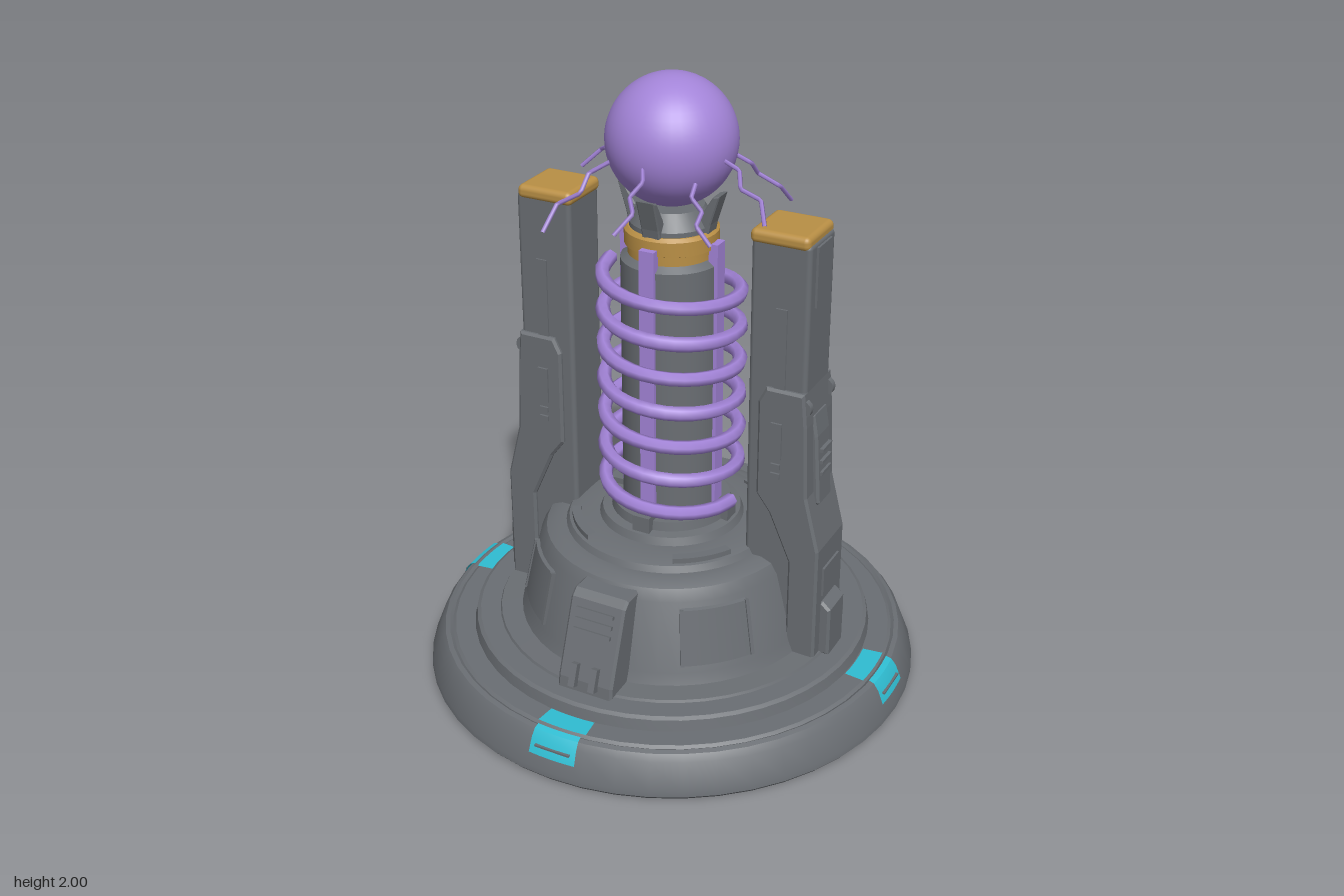
import * as THREE from 'three';
import { RoundedBoxGeometry } from 'three/addons/geometries/RoundedBoxGeometry.js';
import { toCreasedNormals } from 'three/addons/utils/BufferGeometryUtils.js';

const mat = (name, color) => {
  const m = new THREE.MeshStandardMaterial({ color });
  m.name = name;
  return m;
};

export function createModel() {
  const metal = mat('gunmetal', 0x6a6e73);
  const violet = mat('violet', 0xa384d8);
  const gold = mat('brass', 0xb98f45);
  const cyan = mat('cyan', 0x2fbdd2);
  cyan.side = THREE.DoubleSide;
  const panelMetal = metal;
  const root = new THREE.Group();
  root.name = 'energyCoil';

  const add = (parent, name, geo, material, x = 0, y = 0, z = 0) => {
    const m = new THREE.Mesh(geo, material);
    m.name = name;
    m.position.set(x, y, z);
    parent.add(m);
    return m;
  };
  const box = (parent, name, w, h, d, material, x, y, z) =>
    add(parent, name, new THREE.BoxGeometry(w, h, d), material, x, y, z);
  const lathe = (pts, seg = 48, start = 0, len = Math.PI * 2) =>
    toCreasedNormals(new THREE.LatheGeometry(pts.map(p => new THREE.Vector2(...p)), seg, start, len), 0.5);
  // Side profile in XY, extruded symmetrically along z
  const slab = (pts, depth, bevel = 0.008) => {
    const g = new THREE.ExtrudeGeometry(new THREE.Shape(pts.map(p => new THREE.Vector2(...p))), {
      depth: depth - 2 * bevel, bevelEnabled: true, bevelSize: bevel, bevelThickness: bevel,
      bevelOffset: -bevel, bevelSegments: 1 });
    return g.translate(0, 0, -depth / 2 + bevel);
  };
  // Four copies about the vertical axis
  const around = (n, name, build, offset = 0) => {
    for (let i = 0; i < n; i++) {
      const g = new THREE.Group();
      g.name = name;
      g.rotation.y = offset + (i * Math.PI * 2) / n;
      build(g);
      root.add(g);
    }
  };

  // Stepped round base and conical housing
  add(root, 'base', lathe([[0, 0], [0.8, 0], [0.81, 0.012], [0.808, 0.03], [0.775, 0.115], [0.76, 0.135],
    [0.745, 0.14], [0.735, 0.133], [0.725, 0.14], [0.66, 0.14], [0.652, 0.175], [0.64, 0.182], [0, 0.182]]), metal);
  add(root, 'housing', lathe([[0.575, 0.18], [0.57, 0.19], [0.5, 0.192], [0.485, 0.23], [0.43, 0.455], [0.41, 0.49],
    [0.375, 0.505], [0.345, 0.505], [0.335, 0.525], [0.3, 0.535], [0.235, 0.535], [0.225, 0.56],
    [0.195, 0.565], [0.19, 0.595], [0, 0.6]]), metal);

  // Glowing markers following the base rim
  around(4, 'marker', g => {
    add(g, 'markerTop', lathe([[0.73, 0.145], [0.665, 0.145]], 4, -0.115, 0.23), cyan);
    add(g, 'markerRim', lathe([[0.798, 0.072], [0.779, 0.118], [0.763, 0.139], [0.745, 0.145]], 4, -0.1, 0.2), cyan);
    box(g, 'markerSlot', 0.12, 0.006, 0.012, metal, 0, 0.1, 0.786);
  });

  // Curved panels and top ridges on the diagonals
  around(4, 'housingPanel', g => {
    const skin = [[0.475, 0.25], [0.484, 0.252], [0.446, 0.432], [0.43, 0.436]];
    add(g, 'panel', lathe(skin, 8, -0.24, 0.48), panelMetal);
    for (const s of [-1, 1]) {
      const edge = add(g, 'panelEdge', new THREE.BoxGeometry(0.012, 0.186, 0.02), metal,
        Math.sin(s * 0.24) * 0.46, 0.342, Math.cos(0.24) * 0.46);
      edge.rotation.set(-0.21, s * 0.24, 0, 'YXZ');
    }
    add(g, 'ridge', lathe([[0.325, 0.525], [0.325, 0.545], [0.295, 0.545], [0.295, 0.525]], 8, -0.3, 0.6), metal);
  }, Math.PI / 4);

  // Sloping vent boxes, front and back
  around(2, 'vent', g => {
    const body = add(g, 'ventBody', slab([[0.38, 0.18], [0.59, 0.18], [0.585, 0.22], [0.495, 0.46], [0.47, 0.48], [0.38, 0.48]], 0.19), metal);
    body.rotation.y = -Math.PI / 2;
    const face = new THREE.Group();
    face.name = 'ventFace';
    face.position.set(0, 0.34, 0.541);
    face.rotation.x = -0.359;
    g.add(face);
    for (let i = 0; i < 3; i++) box(face, 'slat', 0.13, 0.012, 0.014, metal, 0, 0.03 + i * 0.033, 0.004);
    for (const s of [-1, 1]) box(face, 'lug', 0.022, 0.075, 0.03, metal, s * 0.035, -0.11, 0.006);
  });

  // Two side pylons with armour and brass caps
  around(2, 'pylon', g => {
    add(g, 'pylonCore', new RoundedBoxGeometry(0.19, 1.3, 0.18, 2, 0.015), metal, 0.4, 0.93, 0);
    add(g, 'pylonCap', new RoundedBoxGeometry(0.19, 0.045, 0.19, 3, 0.018), gold, 0.395, 1.582, 0);
    add(g, 'pylonArmour', slab([[0.37, 1.11], [0.495, 1.11], [0.505, 1.0], [0.515, 0.76], [0.56, 0.58], [0.56, 0.18],
      [0.46, 0.18], [0.46, 0.52], [0.39, 0.68], [0.345, 0.74], [0.345, 1.06]], 0.21), metal);
    add(g, 'pylonFoot', slab([[0.53, 0.18], [0.592, 0.18], [0.592, 0.35], [0.565, 0.375], [0.53, 0.375]], 0.12), metal);
    add(g, 'pylonSpine', slab([[0.48, 0.68], [0.535, 0.72], [0.52, 0.95], [0.508, 1.02], [0.48, 1.02]], 0.1), metal);
    box(g, 'outerPanel', 0.014, 0.19, 0.1, metal, 0.495, 1.47, 0);
    box(g, 'lowerPanel', 0.014, 0.1, 0.12, metal, 0.56, 0.45, 0);
    for (let i = 0; i < 3; i++) box(g, 'rung', 0.012, 0.012, 0.07, metal, 0.53, 0.82 + i * 0.04, 0);
    for (const s of [-1, 1]) {
      box(g, 'upperInlay', 0.036, 0.26, 0.012, metal, 0.41, 1.24, s * 0.09);
      box(g, 'lowerInlay', 0.036, 0.12, 0.012, metal, 0.41, 0.94, s * 0.106);
      for (let i = 0; i < 2; i++) box(g, 'stud', 0.03, 0.018, 0.012, metal, 0.41, 0.82 + i * 0.032, s * 0.106);
      const bolt = add(g, 'hingeBolt', new THREE.CylinderGeometry(0.03, 0.03, 0.02, 12), metal, 0.485, 1.06, s * 0.085);
      bolt.rotation.x = Math.PI / 2;
    }
  });

  // Central column, brass collar, energy strips and claws
  add(root, 'column', lathe([[0.158, 0.58], [0.158, 1.43], [0.13, 1.45], [0.13, 1.55], [0.1, 1.6], [0, 1.6]], 32), metal);
  add(root, 'collar', lathe([[0.12, 1.44], [0.135, 1.44], [0.135, 1.475], [0.146, 1.48], [0.146, 1.525],
    [0.135, 1.535], [0.1, 1.535]], 32), gold);
  around(4, 'columnSide', g => {
    box(g, 'energyStrip', 0.05, 0.9, 0.03, violet, 0, 1.05, 0.152);
    box(g, 'stripFoot', 0.06, 0.08, 0.06, metal, 0, 0.575, 0.185);
    const claw = add(g, 'claw', slab([[0.1, 1.5], [0.13, 1.5], [0.142, 1.56], [0.172, 1.655], [0.15, 1.65], [0.11, 1.585]], 0.06, 0.004), metal);
    claw.rotation.y = -Math.PI / 2;
  });

  // Helical coil
  const turns = 6.5;
  const helix = [];
  for (let i = 0; i <= turns * 16; i++) {
    const t = i / (turns * 16), a = -Math.PI / 2 + t * turns * Math.PI * 2;
    helix.push(new THREE.Vector3(Math.sin(a) * 0.214, 1.385 - t * 0.76, Math.cos(a) * 0.214));
  }
  add(root, 'coil', new THREE.TubeGeometry(new THREE.CatmullRomCurve3(helix), 210, 0.023, 6), violet);

  // Orb
  add(root, 'orb', new THREE.SphereGeometry(0.2, 40, 28), violet, 0, 1.8, 0);

  // Jagged arcs: heading from +z, reach, start height, end height
  const arcs = [[-48, 0.4, 1.75, 1.55], [3, 0.36, 1.77, 1.62], [46, 0.3, 1.72, 1.57], [80, 0.35, 1.78, 1.61],
    [134, 0.39, 1.74, 1.56], [188, 0.34, 1.77, 1.63], [-106, 0.37, 1.78, 1.63]];
  arcs.forEach(([deg, reach, y0, y1], k) => {
    const a = THREE.MathUtils.degToRad(deg);
    const path = new THREE.CurvePath();
    const pts = [0, 0.3, 0.45, 0.75, 1].map((t, i) => {
      const r = 0.185 + (reach - 0.185) * t;
      const b = a + (i % 2 ? 0.07 : -0.05) * (k % 2 ? 1 : -1);
      return new THREE.Vector3(Math.sin(b) * r, y0 + (y1 - y0) * t + (i % 2 ? 0.018 : 0), Math.cos(b) * r);
    });
    for (let i = 0; i < 4; i++) path.add(new THREE.LineCurve3(pts[i], pts[i + 1]));
    add(root, 'arc', new THREE.TubeGeometry(path, 24, 0.007, 5), violet);
  });

  return root;
}
